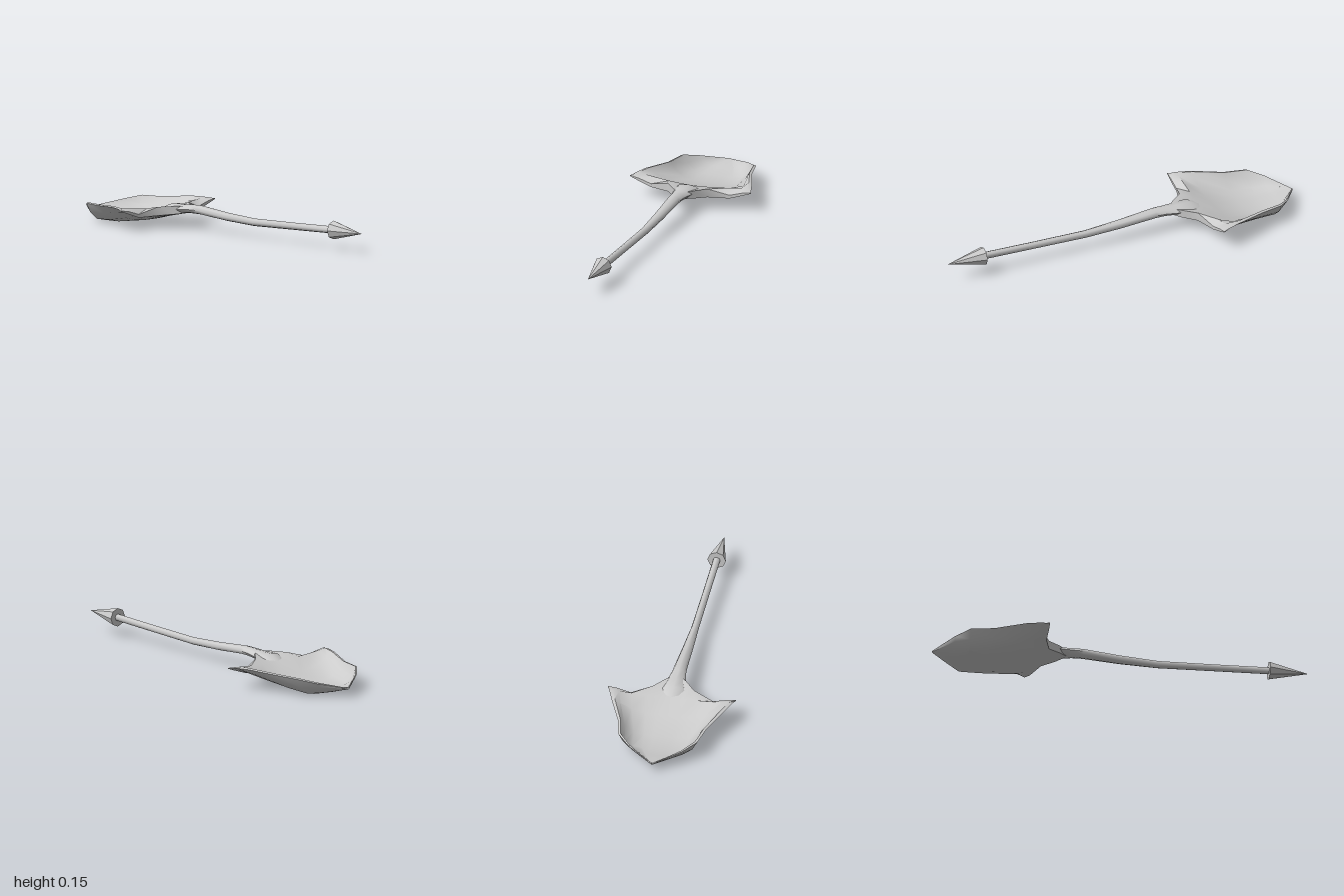
import * as THREE from 'three';
import { toCreasedNormals } from 'three/addons/utils/BufferGeometryUtils.js';

const material = new THREE.MeshStandardMaterial({ color: 0xcccccc });

// Skin a list of closed rings (over the top from -x to +x, then back below), running towards -z
function loft(rings, crease) {
  const size = rings[0].length;
  const index = [];
  for (let r = 0; r < rings.length - 1; r++) {
    for (let j = 0; j < size; j++) {
      const k = (j + 1) % size;
      const a = r * size + j, b = r * size + k, c = b + size, d = a + size;
      index.push(a, b, c, a, c, d);
    }
  }
  // end caps, as strips between the upper and lower halves
  const last = (rings.length - 1) * size;
  for (let j = 0; j < size / 2 - 1; j++) {
    const a = j, b = size - 1 - j, c = size - 2 - j, d = j + 1;
    index.push(a, b, c, a, c, d);
    index.push(last + a, last + c, last + b, last + a, last + d, last + c);
  }
  const geometry = new THREE.BufferGeometry();
  geometry.setAttribute('position', new THREE.Float32BufferAttribute(rings.flat(2), 3));
  geometry.setIndex(index);
  return toCreasedNormals(geometry, crease);
}

// Mirror half profiles (from centre to edge) into a closed ring
function mirrorRing(top, bottom) {
  const flip = ([x, y, z]) => [-x, y, z];
  const whole = (half) => [...half.slice(1).reverse().map(flip), ...half];
  return [...whole(top), ...whole(bottom).reverse()];
}

function bladeGeometry() {
  // front edge with the shoulders: x, z, lower y, upper y
  const front = [
    [0, -0.28, 0.088, 0.122],
    [0.053, -0.33, 0.08, 0.122],
    [0.11, -0.4, 0.071, 0.117],
    [0.22, -0.435, 0.067, 0.085],
    [0.29, -0.437, 0.091, 0.106],
    [0.34, -0.44, 0.109, 0.114],
  ];
  const rings = [mirrorRing(
    front.map(([x, z, , y]) => [x, y, z]),
    front.map(([x, z, y]) => [x, y, z]),
  )];
  // scooped sections: centre z, edge z, half width, centre y, edge y, curve power, thickness
  const sections = [
    [-0.46, -0.48, 0.325, 0.05, 0.117, 2.5, 0.05],
    [-0.56, -0.555, 0.3, 0.026, 0.118, 3, 0.025],
    [-0.71, -0.715, 0.235, 0.005, 0.104, 4, 0.02],
    [-0.82, -0.835, 0.21, 0.002, 0.102, 5, 0.02],
    [-0.9, -0.905, 0.143, 0.017, 0.082, 3, 0.02],
    [-0.995, -1, 0.004, 0.044, 0.048, 2, 0.012],
  ];
  const columns = [0, 0.2, 0.4, 0.65, 0.87, 1];
  for (const [zc, ze, w, yc, ye, power, thick] of sections) {
    const bottom = columns.map((u) => [w * u, yc + (ye - yc) * u ** power, zc + (ze - zc) * u]);
    const top = bottom.map(([x, y, z], i) => {
      const u = columns[i];
      return [x * (1 - 0.06 * u ** 3), y + thick + (0.004 - thick) * u ** 3, z];
    });
    rings.push(mirrorRing(top, bottom));
  }
  return loft(rings, 0.7);
}

function handleGeometry() {
  // z, centre y, x radius, y radius
  const stations = [
    [0.8, 0.105, 0.019, 0.019],
    [0.5, 0.095, 0.019, 0.019],
    [0.2, 0.086, 0.02, 0.02],
    [0, 0.095, 0.028, 0.022],
    [-0.2, 0.111, 0.035, 0.024],
    [-0.25, 0.11, 0.038, 0.023],
    [-0.33, 0.105, 0.053, 0.022],
    [-0.4, 0.105, 0.065, 0.022],
    [-0.47, 0.085, 0.04, 0.01],
  ];
  const sides = 8;
  const rings = stations.map(([z, y, rx, ry]) => Array.from({ length: sides }, (_, i) => {
    const a = (i / sides) * Math.PI * 2;
    return [-Math.cos(a) * rx, y + Math.sin(a) * ry, z];
  }));
  return loft(rings, 1.1);
}

export function createModel() {
  const group = new THREE.Group();
  const add = (name, geometry, mat = material) => {
    const mesh = new THREE.Mesh(geometry, mat);
    mesh.name = name;
    group.add(mesh);
    return mesh;
  };

  add('blade', bladeGeometry());
  add('handle', handleGeometry());

  // faceted spike at the end of the handle
  const faceted = material.clone();
  faceted.flatShading = true;
  const spike = add('handleSpike', new THREE.ConeGeometry(0.049, 0.21, 8), faceted);
  spike.rotation.x = Math.PI / 2;
  spike.position.set(0, 0.105, 0.895);

  return group;
}
